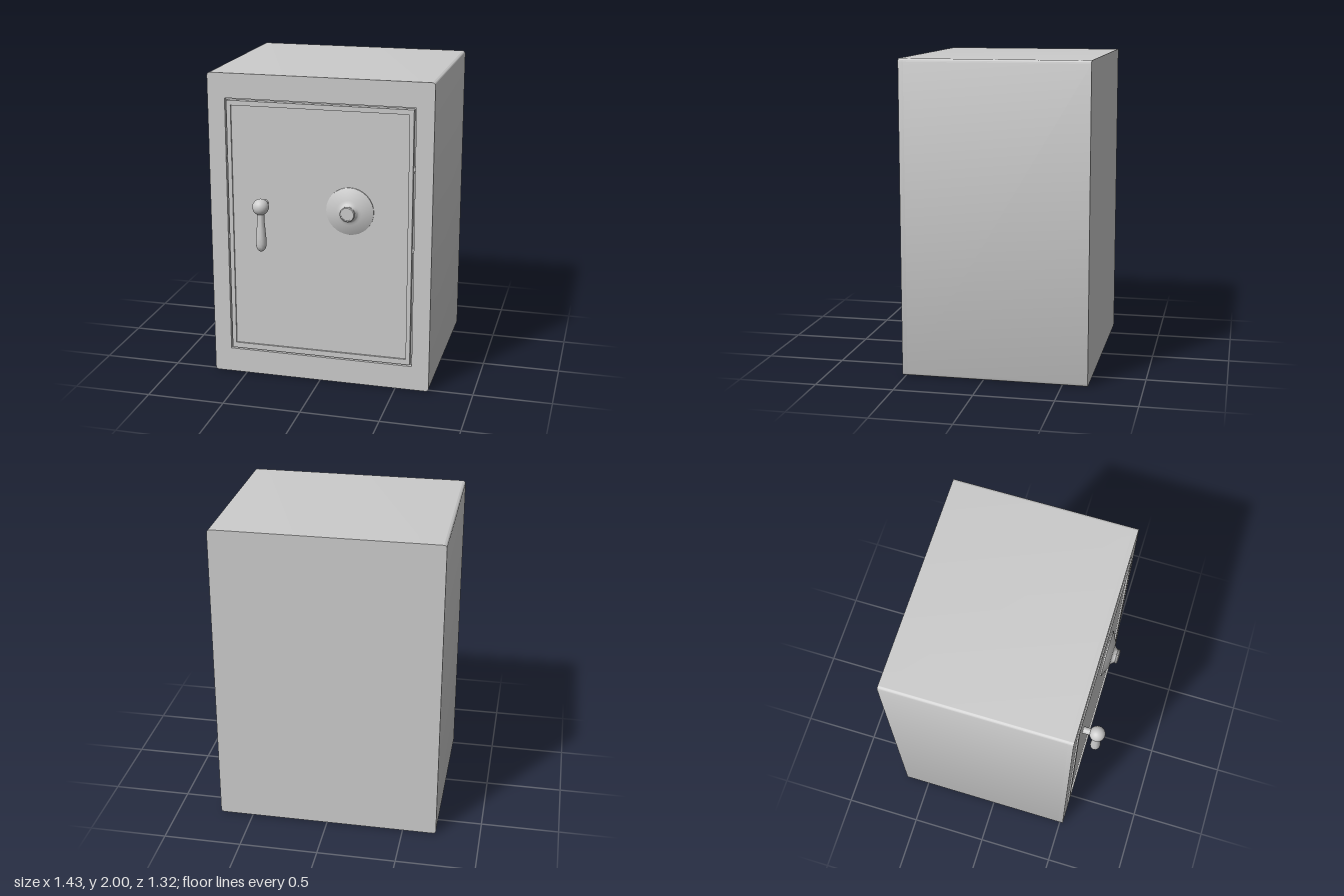
import * as THREE from 'three';
import { toCreasedNormals } from 'three/addons/utils/BufferGeometryUtils.js';

const material = new THREE.MeshStandardMaterial({ color: 0xcccccc });

// Outline of a rectangle with optionally rounded corners.
function outline(target, halfW, bottom, top, r = 0) {
  if (!r) {
    target.moveTo(-halfW, bottom).lineTo(halfW, bottom).lineTo(halfW, top).lineTo(-halfW, top).closePath();
    return target;
  }
  target.moveTo(-halfW + r, bottom);
  target.absarc(halfW - r, bottom + r, r, -Math.PI / 2, 0);
  target.absarc(halfW - r, top - r, r, 0, Math.PI / 2);
  target.absarc(-halfW + r, top - r, r, Math.PI / 2, Math.PI);
  target.absarc(-halfW + r, bottom + r, r, Math.PI, Math.PI * 1.5);
  target.closePath();
  return target;
}

// Plate or frame between two depths.
function plate(shape, z0, z1) {
  const g = new THREE.ExtrudeGeometry(shape, { depth: z1 - z0, bevelEnabled: false, curveSegments: 5 });
  g.translate(0, 0, z0);
  return toCreasedNormals(g, 0.5);
}

function lathe(points, segments) {
  const g = new THREE.LatheGeometry(points.map(([r, y]) => new THREE.Vector2(r, y)), segments);
  return toCreasedNormals(g, 0.6);
}

export function createModel() {
  const safe = new THREE.Group();
  safe.name = 'safe';
  const add = (name, geometry, parent = safe) => {
    const mesh = new THREE.Mesh(geometry, material);
    mesh.name = name;
    parent.add(mesh);
    return mesh;
  };

  // Cabinet: solid block with a shallow door opening in its front frame
  const front = 0.522, recess = 0.49;
  add('cabinet', plate(outline(new THREE.Shape(), 0.717, 0, 2, 0.02), -0.66, recess));
  const frame = outline(new THREE.Shape(), 0.717, 0, 2, 0.02);
  frame.holes.push(outline(new THREE.Path(), 0.605, 0.162, 1.843));
  add('frontFrame', plate(frame, recess, front));

  // Door: raised rim around a slightly sunken panel, with a gap to the cabinet
  const door = new THREE.Group();
  door.name = 'door';
  safe.add(door);
  const rim = outline(new THREE.Shape(), 0.593, 0.174, 1.831);
  rim.holes.push(outline(new THREE.Path(), 0.566, 0.21, 1.8));
  add('doorRim', plate(rim, recess, 0.528), door);
  add('doorPanel', plate(outline(new THREE.Shape(), 0.566, 0.21, 1.8), recess, 0.517), door);

  // Hinge and bolt tabs bridging the gap
  for (const x of [-0.599, 0.599]) {
    for (const y of [0.935, 1.46]) {
      add('doorTab', new THREE.BoxGeometry(0.014, 0.03, 0.02), door).position.set(x, y, 0.5);
    }
  }

  // Handle: stem, ball and hanging grip
  const handle = new THREE.Group();
  handle.name = 'handle';
  handle.position.set(-0.355, 1.18, 0.61);
  safe.add(handle);
  const stem = new THREE.CylinderGeometry(0.023, 0.023, 0.1, 20);
  stem.rotateX(Math.PI / 2);
  add('handleStem', stem, handle).position.z = -0.05;
  add('handleBall', new THREE.SphereGeometry(0.052, 24, 16), handle);
  add('handleGrip', lathe([
    [0, -0.29], [0.014, -0.288], [0.025, -0.277], [0.032, -0.258], [0.034, -0.235],
    [0.032, -0.2], [0.027, -0.14], [0.023, -0.09], [0.022, -0.03],
  ], 20), handle);

  // Combination dial: flared skirt, concave collar and knob
  const dial = lathe([
    [0.152, 0], [0.152, 0.009], [0.08, 0.043], [0.066, 0.044], [0.057, 0.051], [0.05, 0.06],
    [0.047, 0.066], [0.043, 0.066], [0.043, 0.069], [0.048, 0.072], [0.048, 0.08],
    [0.043, 0.086], [0.037, 0.086], [0.037, 0.084], [0, 0.084],
  ], 32);
  dial.rotateX(Math.PI / 2);
  add('combinationDial', dial).position.set(0.198, 1.167, 0.516);

  return safe;
}
